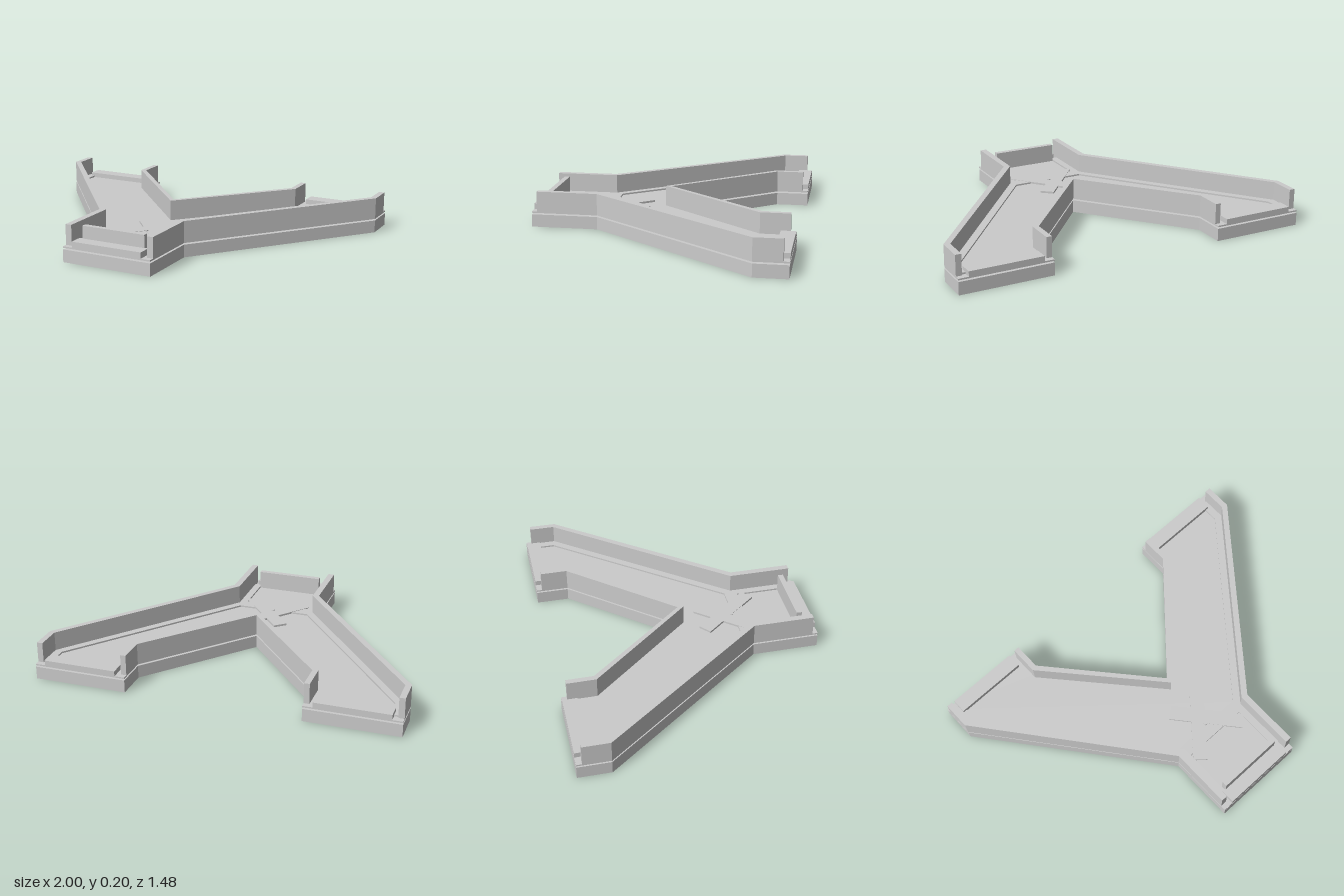
import * as THREE from 'three';

const material = new THREE.MeshStandardMaterial({ color: 0xcccccc, flatShading: true });

// Solid from a plan outline of [x, z] points, between heights y0 and y1
function slab(name, points, y0, y1) {
  const shape = new THREE.Shape(points.map(([x, z]) => new THREE.Vector2(x, -z)));
  const geometry = new THREE.ExtrudeGeometry(shape, { depth: y1 - y0, bevelEnabled: false });
  geometry.rotateX(-Math.PI / 2).translate(0, y0, 0);
  const mesh = new THREE.Mesh(geometry, material);
  mesh.name = name;
  return mesh;
}

// Box given by its ranges on each axis
function block(name, [x0, x1], [y0, y1], [z0, z1]) {
  const mesh = new THREE.Mesh(new THREE.BoxGeometry(x1 - x0, y1 - y0, z1 - z0), material);
  mesh.position.set((x0 + x1) / 2, (y0 + y1) / 2, (z0 + z1) / 2);
  mesh.name = name;
  return mesh;
}

const flip = (points, side) => points.map(([x, z]) => [x * side, z]);

export function createModel() {
  const model = new THREE.Group();
  model.name = 'forkedTrack';

  // Y-shaped base and the thin floor floating just above it
  const half = [[0.26, 0.74], [0.26, 0.37], [1, -0.56], [1, -0.74], [0.485, -0.74], [0.485, -0.56]];
  const outline = [...half, [0, 0], ...flip(half, -1).reverse()];
  model.add(slab('base', outline, 0, 0.07));
  model.add(slab('floor', outline, 0.079, 0.087));

  // Outer walls, low kerbs inside them, and end steps of both arms
  const outerWall = [[1, -0.71], [1, -0.56], [0.26, 0.37], [0.26, 0.71],
    [0.225, 0.71], [0.225, 0.36], [0.968, -0.57], [0.968, -0.71]];
  const kerb = [[0.968, -0.7], [0.968, -0.57], [0.225, 0.36], [0.225, 0.66],
    [0.185, 0.66], [0.185, 0.345], [0.925, -0.58], [0.925, -0.7]];
  for (const side of [1, -1]) {
    const label = side > 0 ? 'left' : 'right';
    model.add(slab(label + 'OuterWall', flip(outerWall, side), 0.087, 0.2));
    model.add(slab(label + 'Kerb', flip(kerb, side), 0.087, 0.096));
    const [a, b] = side > 0 ? [0.54, 0.945] : [-0.945, -0.54];
    model.add(block(label + 'EndStep', [a, b], [0.08, 0.115], [-0.74, -0.66]));
    const [c, d] = side > 0 ? [0.56, 0.92] : [-0.92, -0.56];
    model.add(block(label + 'EndSupport', [c, d], [0.07, 0.08], [-0.71, -0.57]));
  }

  // V-shaped wall between the arms
  const innerHalf = [[0.515, -0.71], [0.485, -0.71], [0.485, -0.56]];
  model.add(slab('innerWall', [
    ...innerHalf, [0, -0.005], ...flip(innerHalf, -1).reverse(),
    [-0.515, -0.55], [0, 0.03], [0.515, -0.55],
  ], 0.087, 0.2));

  // Step and upright gate at the stem end
  model.add(block('stemStep', [-0.205, 0.205], [0.08, 0.12], [0.66, 0.74]));
  model.add(block('stemGate', [-0.185, 0.185], [0.085, 0.19], [0.635, 0.665]));

  // Crossed junction marker with crossbar and pivot
  const marker = new THREE.Group();
  marker.name = 'junctionMarker';
  for (const side of [1, -1]) {
    const bar = block('crossArm', [-0.205, 0.205], [0.07, 0.098], [-0.039, 0.039]);
    bar.position.set(0.0325 * side, 0.084, 0.2875);
    bar.rotation.y = -side * 0.87;
    marker.add(bar);
  }
  marker.add(block('crossbar', [-0.207, 0.207], [0.07, 0.096], [0.32, 0.39]));
  const pivot = new THREE.Mesh(new THREE.CylinderGeometry(0.01, 0.01, 0.03, 12), material);
  pivot.name = 'pivot';
  pivot.position.set(0, 0.087, 0.31);
  marker.add(pivot);
  model.add(marker);

  return model;
}
